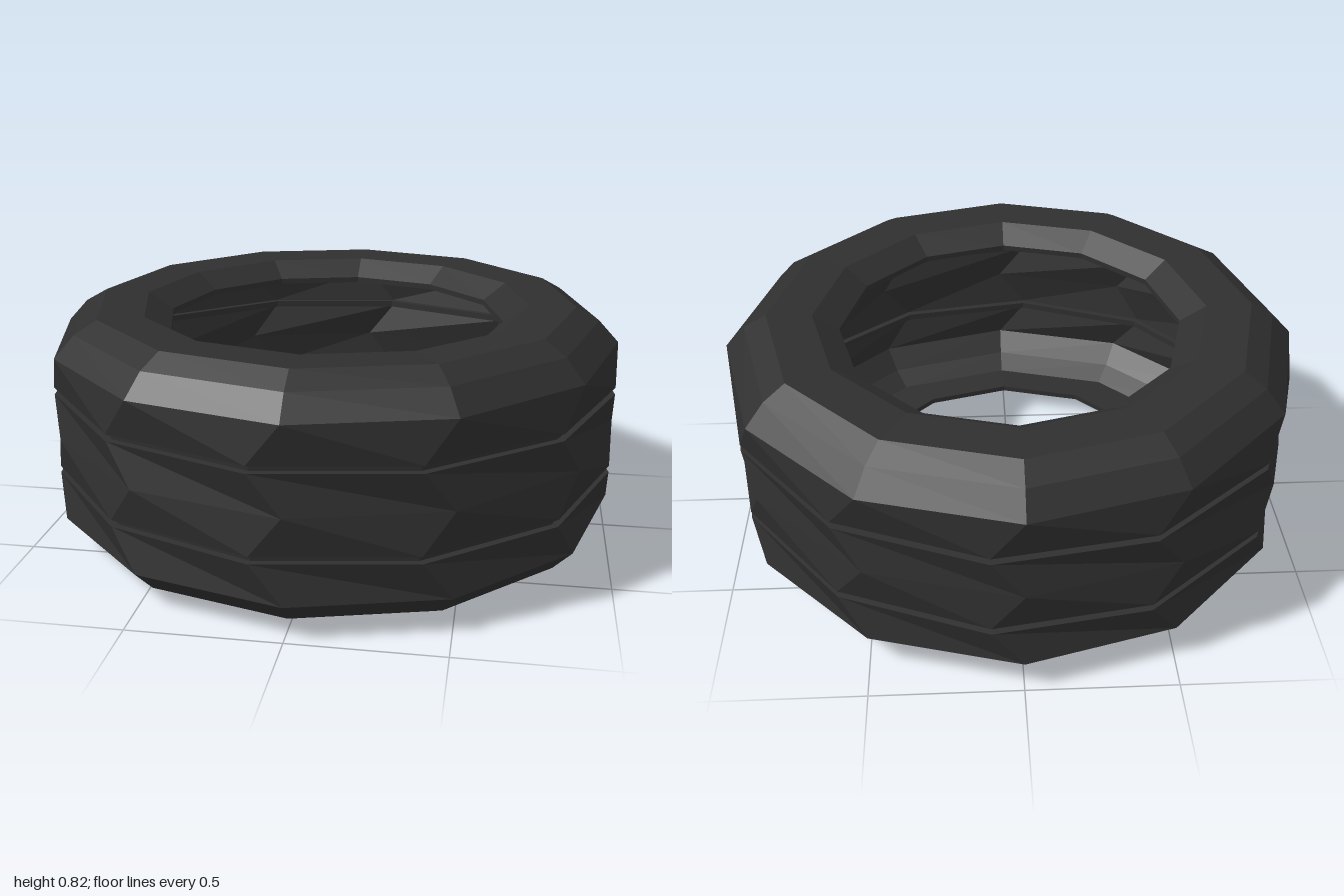
import * as THREE from 'three';

const SIDES = 12;
const MID = 0.41; // half of the tyre's height
const TWIST = THREE.MathUtils.degToRad(6);

// Faceted band swept round the y axis; each ring is [radius, y, twist]
function ringBand(name, rings, material) {
  const positions = [];
  const point = ([r, y, twist = 0], j) => {
    const a = (j / SIDES) * Math.PI * 2 + twist;
    return [r * Math.cos(a), y, r * Math.sin(a)];
  };
  for (let i = 0; i < rings.length - 1; i++) {
    for (let j = 0; j < SIDES; j++) {
      const a = point(rings[i], j), b = point(rings[i + 1], j);
      const c = point(rings[i + 1], j + 1), d = point(rings[i], j + 1);
      positions.push(...a, ...b, ...c, ...a, ...c, ...d);
    }
  }
  const geometry = new THREE.BufferGeometry();
  geometry.setAttribute('position', new THREE.Float32BufferAttribute(positions, 3));
  geometry.computeVertexNormals(); // unshared corners keep every facet flat
  const mesh = new THREE.Mesh(geometry, material);
  mesh.name = name;
  return mesh;
}

// Flip a half profile about the mid height
const mirrored = (rings) => rings.map(([r, y, t]) => [r, 2 * MID - y, t]).reverse();

export function createModel() {
  const group = new THREE.Group();
  group.name = 'tyre';
  const rubber = new THREE.MeshStandardMaterial({ color: 0x2f2f2f, side: THREE.DoubleSide });
  rubber.name = 'black rubber';

  // Upper sidewall: rounded shoulder, flat side, bevel and bead lip
  const sidewall = [
    [1, 0.7], [0.93, 0.775], [0.85, 0.82], [0.69, 0.815], [0.6, 0.757], [0.6, 0.737],
  ];
  // Upper tread from the centre ring to the shoulder, with a narrow twisted groove
  const tread = [
    [1, MID, 0], [1, 0.543, TWIST], [0.975, 0.543, TWIST],
    [0.975, 0.567, TWIST], [1, 0.567, TWIST], [1, 0.7, 0],
  ];

  group.add(
    ringBand('lowerSidewall', mirrored(sidewall), rubber),
    ringBand('tread', [...mirrored(tread), ...tread.slice(1)], rubber),
    ringBand('upperSidewall', sidewall, rubber),
  );
  return group;
}
